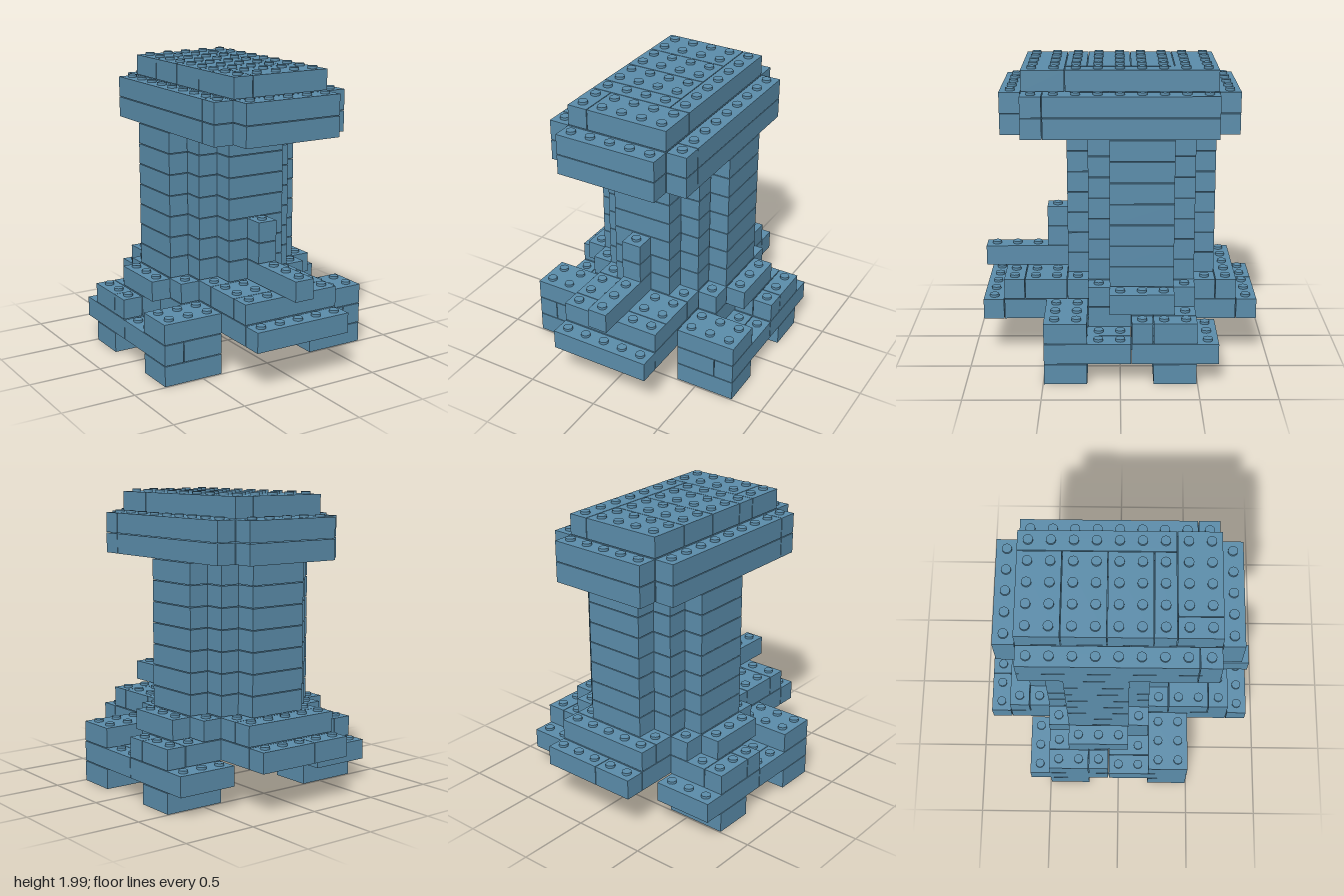
import * as THREE from 'three';

const P = 0.1416;      // brick pitch, equal in all directions
const GAP = 0.005;     // seam between bricks
const STUD_R = 0.031, STUD_H = 0.0175;

// One brick covering whole cells, ends included
const brick = (x0, x1, z0, z1) => ({ x0, x1, z0, z1 });

// A run of bricks from back to front, split at the given cells
const strip = (x0, x1, ...starts) =>
  starts.slice(0, -1).map((z, i) => brick(x0, x1, z, starts[i + 1] - 1));

// The same bricks on both sides
const pair = bricks => bricks.flatMap(b => [b, brick(-b.x1, -b.x0, b.z0, b.z1)]);

// Stepped column: each step outwards is one cell shorter at both ends
const column = [
  ...strip(-1, 1, -4, 0, 3),
  ...pair([...strip(2, 2, -3, 2), ...strip(3, 3, -2, 1)]),
];

// Four feet, joined front to back by a rail on each side
const feet = pair([...strip(3, 5, 2, 4), ...strip(3, 5, -3, -1)]);
const rails = pair([...strip(3, 5, -4, 0), ...strip(3, 4, 0, 4), ...strip(5, 5, 0, 4)]);

// Base: a long centre with shorter side steps
const lowerBase = [
  ...strip(-2, 2, -5, -1, 2, 6, 7),
  ...strip(-2, -1, -6, -5), ...strip(0, 2, -6, -5),
  ...pair([
    ...strip(3, 5, 2, 4), ...strip(3, 3, -1, 2), ...strip(3, 4, -3, -1),
    ...strip(4, 4, -1, 0), ...strip(5, 5, -3, -1, 0),
  ]),
];
const upperBase = [
  ...strip(-2, 2, -5, -4, 0, 3, 5, 6),
  ...pair([...strip(3, 3, -3, 2), ...strip(4, 4, -2, 1)]),
];

// Overhanging head and the deck on top
const head = [
  ...strip(-2, 2, -5, -4, 1, 5, 6),
  ...pair(strip(3, 3, -4, 4, 5)),
];
const deck = [
  ...strip(-2, 1, -4, -2, 0, 2, 3), ...strip(2, 2, -4, 3),
  ...strip(-2, -2, 3, 5), ...strip(-1, 2, 3, 5),
];

const frontArm = strip(0, 0, 3, 7);
const frontPost = strip(0, 0, 3, 4);

// Layers from the ground up
const layer = (name, ...parts) => ({ name, bricks: parts.flat() });
const repeat = (count, name, ...parts) =>
  Array.from({ length: count }, () => layer(name, ...parts));

const layers = [
  layer('foot', feet),
  layer('sideRail', rails),
  layer('lowerBase', lowerBase),
  layer('upperBase', upperBase),
  layer('columnWithArm', column, frontArm),
  ...repeat(2, 'columnWithPost', column, frontPost),
  ...repeat(4, 'column', column),
  ...repeat(2, 'head', head),
  layer('topDeck', deck),
];

const isCovered = (above, x, z) => above !== undefined && above.bricks.some(
  b => x >= b.x0 && x <= b.x1 && z >= b.z0 && z <= b.z1);

export function createModel() {
  const model = new THREE.Group();
  model.name = 'brickTower';
  const blue = new THREE.MeshStandardMaterial({ color: 0x5b8dab });
  blue.name = 'dusty blue';
  const boxGeo = new THREE.BoxGeometry(1, 1, 1);
  const studGeo = new THREE.CylinderGeometry(STUD_R, STUD_R, STUD_H, 16);

  layers.forEach(({ name, bricks }, level) => {
    const group = new THREE.Group();
    group.name = `${name}Layer${level + 1}`;
    for (const { x0, x1, z0, z1 } of bricks) {
      const body = new THREE.Mesh(boxGeo, blue);
      body.name = `${name}Brick`;
      body.scale.set((x1 - x0 + 1) * P - GAP, P - GAP, (z1 - z0 + 1) * P - GAP);
      body.position.set((x0 + x1) / 2 * P, (level + 0.5) * P, (z0 + z1) / 2 * P);
      group.add(body);

      // studs wherever no brick sits above
      for (let x = x0; x <= x1; x++) {
        for (let z = z0; z <= z1; z++) {
          if (isCovered(layers[level + 1], x, z)) continue;
          const stud = new THREE.Mesh(studGeo, blue);
          stud.name = 'stud';
          stud.position.set(x * P, (level + 1) * P - GAP / 2 + STUD_H / 2, z * P);
          group.add(stud);
        }
      }
    }
    model.add(group);
  });
  return model;
}
